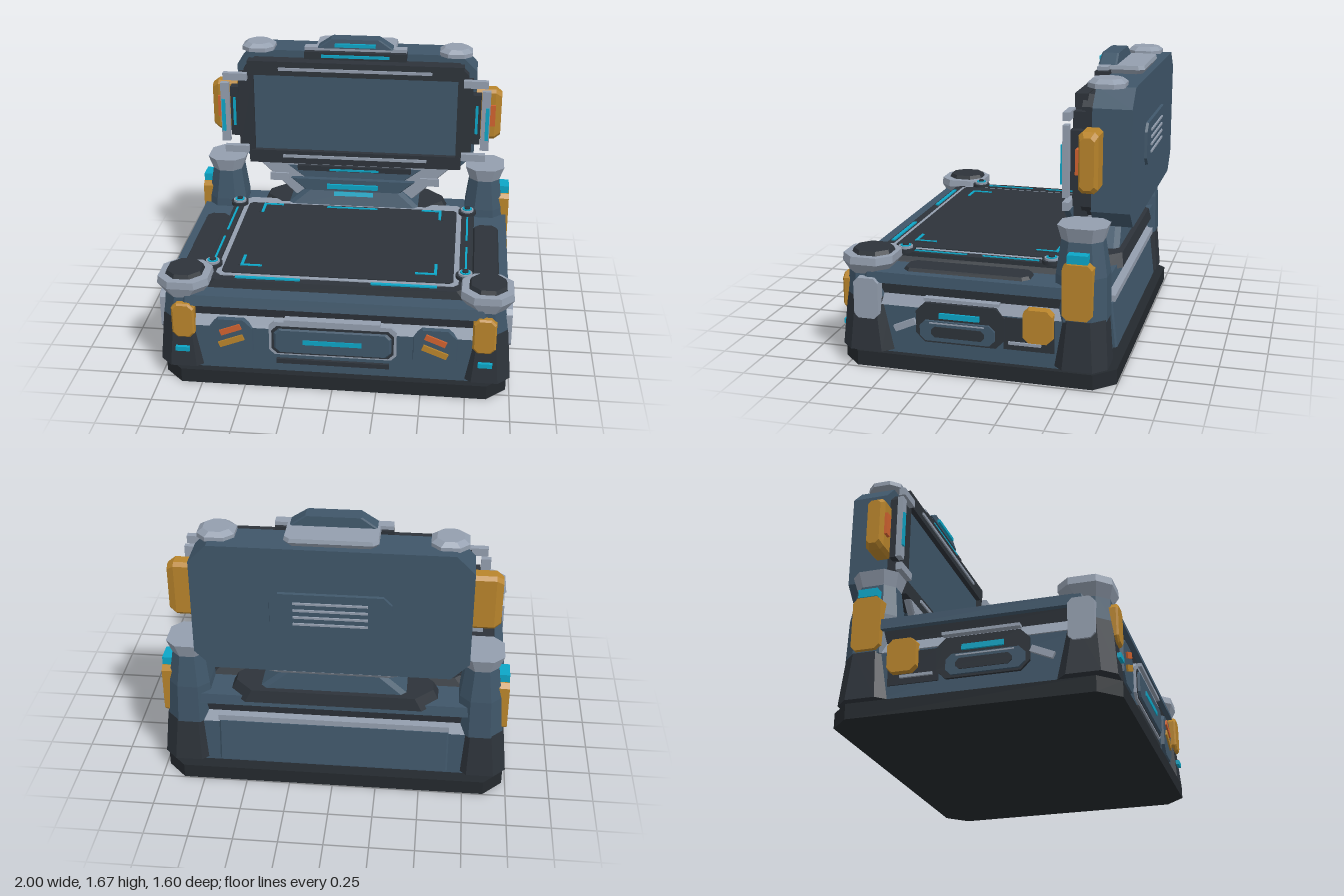
import * as THREE from 'three';

const mat = (name, color) => {
  const m = new THREE.MeshStandardMaterial({ color });
  m.name = name;
  return m;
};
const BLUE = mat('slate blue', 0x3f5669), DARK = mat('charcoal', 0x2d333a), BASE = mat('near black', 0x24292e);
const GREY = mat('light steel', 0x939eae), GOLD = mat('amber', 0xb8842b), TEAL = mat('cyan light', 0x0ca5c6);
const ORANGE = mat('orange', 0xd0622f);

// Chamfered-rectangle sections [t, u0, u1, v0, v1, chamfer] joined along an axis;
// (t,u,v) is (x,y,z), (y,z,x) or (z,x,y).
function loftGeometry(axis, levels, mirror) {
  const a = 'xyz'.indexOf(axis), pos = [], idx = [], n = 8;
  for (const [t, u0, u1, v0, v1, c] of levels) {
    const ring = [[u0 + c, v0], [u1 - c, v0], [u1, v0 + c], [u1, v1 - c], [u1 - c, v1], [u0 + c, v1], [u0, v1 - c], [u0, v0 + c]];
    for (const [u, v] of ring) {
      const p = [0, 0, 0];
      p[a] = t; p[(a + 1) % 3] = u; p[(a + 2) % 3] = v;
      pos.push(mirror ? -p[0] : p[0], p[1], p[2]);
    }
  }
  const tri = (i, j, k) => (mirror ? idx.push(i, k, j) : idx.push(i, j, k));
  const last = (levels.length - 1) * n;
  for (let l = 0; l < last; l += n)
    for (let i = 0; i < n; i++) {
      const j = (i + 1) % n;
      tri(l + i, l + j, l + n + j);
      tri(l + i, l + n + j, l + n + i);
    }
  for (let i = 1; i < n - 1; i++) {
    tri(0, i + 1, i);
    tri(last, last + i, last + i + 1);
  }
  const g = new THREE.BufferGeometry();
  g.setAttribute('position', new THREE.Float32BufferAttribute(pos, 3));
  g.setIndex(idx);
  const flat = g.toNonIndexed();
  flat.computeVertexNormals();
  return flat;
}

export function createModel() {
  const model = new THREE.Group();
  model.name = 'console';
  const add = (name, m, g) => {
    const mesh = new THREE.Mesh(g, m);
    mesh.name = name;
    model.add(mesh);
    return mesh;
  };
  const loft = (name, m, axis, levels) => add(name, m, loftGeometry(axis, levels, false));
  const loftPair = (name, m, axis, levels) => {
    add(name + 'Left', m, loftGeometry(axis, levels, false));
    add(name + 'Right', m, loftGeometry(axis, levels, true));
  };
  const box = (name, m, x0, x1, y0, y1, z0, z1) => {
    const mesh = add(name, m, new THREE.BoxGeometry(x1 - x0, y1 - y0, z1 - z0));
    mesh.position.set((x0 + x1) / 2, (y0 + y1) / 2, (z0 + z1) / 2);
    return mesh;
  };
  const boxPair = (name, m, x0, x1, y0, y1, z0, z1, rx = 0, rz = 0) => {
    box(name + 'Left', m, x0, x1, y0, y1, z0, z1).rotation.set(rx, 0, rz);
    box(name + 'Right', m, -x1, -x0, y0, y1, z0, z1).rotation.set(rx, 0, -rz);
  };

  // Plinth and body, stacked as bands
  const band = (name, m, y0, y1, a, b, c = 0.14) => loft(name, m, 'y', [
    [y0, a[0], a[1], -a[2], a[2], c], [y1, b[0], b[1], -b[2], b[2], c]]);
  band('plinth', BASE, 0, 0.085, [-0.745, 0.8, 0.98], [-0.745, 0.8, 0.98], 0.11);
  band('lowerBody', BLUE, 0.085, 0.36, [-0.67, 0.755, 0.945], [-0.66, 0.755, 0.945]);
  band('ledge', GREY, 0.36, 0.42, [-0.67, 0.765, 0.955], [-0.64, 0.735, 0.93]);
  band('recessBand', DARK, 0.42, 0.49, [-0.64, 0.735, 0.93], [-0.65, 0.745, 0.94]);
  band('upperRim', BLUE, 0.49, 0.55, [-0.68, 0.775, 0.975], [-0.67, 0.76, 0.97]);

  // Work deck and its frame
  band('deck', DARK, 0.55, 0.597, [-0.47, 0.66, 0.77], [-0.45, 0.65, 0.73], 0.05);
  band('deckFrame', GREY, 0.597, 0.602, [-0.45, 0.6, 0.69], [-0.45, 0.6, 0.69], 0.03);
  band('workPad', DARK, 0.602, 0.608, [-0.36, 0.575, 0.66], [-0.36, 0.575, 0.66], 0.02);
  loftPair('sidePad', DARK, 'y', [[0.55, -0.27, 0.44, 0.765, 0.92, 0.035], [0.568, -0.26, 0.43, 0.775, 0.91, 0.03]]);
  boxPair('frontLight', TEAL, 0.2, 0.57, 0.6, 0.608, 0.612, 0.632);
  for (const [z, s] of [[-0.34, 1], [0.485, -1]]) {
    const z1 = z + s * 0.12;
    boxPair('cornerMarkSide', TEAL, 0.548, 0.565, 0.607, 0.613, Math.min(z, z1), Math.max(z, z1));
    boxPair('cornerMarkEnd', TEAL, 0.44, 0.565, 0.607, 0.613, z - 0.008, z + 0.008);
    boxPair('cornerMarkBacking', DARK, 0.565, 0.58, 0.604, 0.611, Math.min(z, z1), Math.max(z, z1));
  }
  box('padBackLight', TEAL, -0.16, 0.16, 0.607, 0.613, -0.34, -0.325);

  // Rails with round knobs at each end
  boxPair('rail', DARK, 0.695, 0.755, 0.58, 0.605, -0.42, 0.52);
  for (const z of [-0.28, 0.13]) boxPair('railLight', TEAL, 0.721, 0.733, 0.604, 0.61, z, z + 0.32);
  const knobParts = [['knobBase', DARK, 0.055, 0.6, 0.62], ['knobRing', GREY, 0.04, 0.62, 0.632],
    ['knobLight', TEAL, 0.03, 0.632, 0.637], ['knobCap', DARK, 0.018, 0.637, 0.645]];
  for (const x of [-0.725, 0.725])
    for (const z of [-0.35, 0.487]) {
      for (const [name, m, r, y0, y1] of knobParts)
        add(name, m, new THREE.CylinderGeometry(r, r, y1 - y0, 16)).position.set(x, (y0 + y1) / 2, z);
    }

  // Front corner pillars
  loftPair('frontFoot', DARK, 'y', [[0.1, 0.47, 0.79, 0.71, 1.0, 0.07], [0.4, 0.51, 0.765, 0.74, 0.975, 0.07]]);
  loftPair('frontColumn', BLUE, 'y', [[0.4, 0.51, 0.765, 0.74, 0.975, 0.07], [0.54, 0.54, 0.755, 0.755, 0.955, 0.06]]);
  loftPair('frontCollar', GREY, 'y', [[0.525, 0.54, 0.755, 0.755, 0.955, 0.06], [0.59, 0.49, 0.778, 0.705, 1.0, 0.07],
    [0.632, 0.49, 0.775, 0.71, 0.995, 0.07]]);
  loftPair('frontCap', DARK, 'y', [[0.63, 0.515, 0.735, 0.75, 0.96, 0.06], [0.655, 0.525, 0.725, 0.76, 0.95, 0.055]]);
  loftPair('frontAmberPlate', GOLD, 'z', [[0.74, 0.78, 0.91, 0.29, 0.505, 0.03], [0.785, 0.78, 0.91, 0.29, 0.505, 0.03],
    [0.795, 0.79, 0.9, 0.3, 0.495, 0.025]]);
  loftPair('pillarSidePlate', GREY, 'x', [[0.94, 0.28, 0.52, 0.55, 0.7, 0.03], [0.995, 0.285, 0.515, 0.555, 0.695, 0.025]]);
  boxPair('footLight', TEAL, 0.815, 0.895, 0.203, 0.23, 0.77, 0.8);

  // Back corner pillars
  loftPair('backFoot', DARK, 'y', [[0.1, -0.705, -0.4, 0.7, 0.995, 0.07], [0.37, -0.685, -0.42, 0.71, 0.97, 0.07]]);
  loftPair('backColumn', BLUE, 'y', [[0.36, -0.69, -0.4, 0.7, 0.965, 0.07], [0.6, -0.685, -0.41, 0.71, 0.945, 0.06],
    [0.8, -0.655, -0.435, 0.735, 0.915, 0.05]]);
  loftPair('backCollar', GREY, 'y', [[0.78, -0.655, -0.435, 0.735, 0.915, 0.05], [0.868, -0.68, -0.415, 0.705, 0.945, 0.06]]);
  loftPair('backAmberPlate', GOLD, 'x', [[0.92, 0.375, 0.69, -0.63, -0.46, 0.025], [0.985, 0.38, 0.685, -0.625, -0.465, 0.025]]);
  boxPair('backPillarLight', TEAL, 0.91, 0.982, 0.69, 0.737, -0.6, -0.49);

  // Front panel set
  loft('frontPanelFrame', GREY, 'z', [[0.75, -0.36, 0.36, 0.2, 0.41, 0.03], [0.77, -0.36, 0.36, 0.2, 0.41, 0.03]]);
  loft('frontPanelGap', DARK, 'z', [[0.765, -0.345, 0.345, 0.21, 0.385, 0.03], [0.773, -0.345, 0.345, 0.21, 0.385, 0.03]]);
  loft('frontPanel', BLUE, 'z', [[0.765, -0.34, 0.34, 0.215, 0.375, 0.03], [0.785, -0.32, 0.32, 0.225, 0.365, 0.025]]);
  box('frontPanelLight', TEAL, -0.165, 0.165, 0.282, 0.31, 0.78, 0.79);
  box('frontTopStrip', GREY, -0.27, 0.27, 0.415, 0.435, 0.74, 0.788);
  box('frontLowStrip', DARK, -0.32, 0.32, 0.142, 0.17, 0.75, 0.772);
  loftPair('frontSidePanel', BLUE, 'z', [[0.75, 0.45, 0.7, 0.16, 0.415, 0.05], [0.775, 0.455, 0.695, 0.165, 0.41, 0.05]]);
  boxPair('orangeSlash', ORANGE, 0.515, 0.64, 0.333, 0.367, 0.77, 0.785, 0, -0.38);
  boxPair('amberSlash', GOLD, 0.5, 0.65, 0.26, 0.295, 0.77, 0.785, 0, -0.38);

  // Side panel sets
  loftPair('sidePanelBack', DARK, 'x', [[0.94, 0.17, 0.395, -0.15, 0.35, 0.05], [0.962, 0.17, 0.395, -0.15, 0.35, 0.05]]);
  loftPair('sidePanel', BLUE, 'x', [[0.955, 0.18, 0.3, -0.1, 0.33, 0.035], [0.973, 0.183, 0.297, -0.095, 0.325, 0.03]]);
  loftPair('sidePanelInset', DARK, 'x', [[0.97, 0.207, 0.267, -0.04, 0.26, 0.02], [0.978, 0.207, 0.267, -0.04, 0.26, 0.02]]);
  boxPair('sidePanelLight', TEAL, 0.955, 0.975, 0.315, 0.345, -0.01, 0.215);
  boxPair('sidePanelLip', GREY, 0.955, 0.976, 0.283, 0.291, -0.04, 0.27);
  boxPair('sideTopStrip', GREY, 0.93, 0.973, 0.41, 0.427, 0.16, 0.3);
  boxPair('sideTopStripRear', GREY, 0.93, 0.973, 0.41, 0.427, -0.12, 0.16);
  boxPair('sideRod', GREY, 0.94, 0.965, 0.237, 0.273, 0.35, 0.48, 0.42);
  boxPair('sideLowStrip', GREY, 0.94, 0.965, 0.203, 0.218, -0.35, -0.17);
  boxPair('sideRecess', DARK, 0.94, 0.952, 0.17, 0.35, -0.42, -0.14);
  loftPair('sideAmberPlate', GOLD, 'x', [[0.94, 0.225, 0.42, -0.42, -0.25, 0.03], [0.985, 0.23, 0.415, -0.415, -0.255, 0.03]]);

  // Rear of body
  box('rearStrip', GREY, -0.66, 0.66, 0.385, 0.42, -0.69, -0.64);
  loft('rearPanel', BLUE, 'y', [[0.12, -0.705, -0.6, -0.66, 0.66, 0.01], [0.37, -0.675, -0.6, -0.66, 0.66, 0.01]]);
  loft('rearStep', DARK, 'y', [[0.53, -0.7, -0.4, -0.6, 0.6, 0.1], [0.605, -0.69, -0.41, -0.56, 0.56, 0.1]]);

  // Neck carrying the display
  loft('neckLower', BLUE, 'y', [[0.59, -0.66, -0.38, -0.43, 0.43, 0.03], [0.735, -0.64, -0.43, -0.25, 0.25, 0.03]]);
  loft('neckUpper', BLUE, 'y', [[0.72, -0.64, -0.44, -0.28, 0.28, 0.03], [0.84, -0.66, -0.45, -0.45, 0.45, 0.03]]);
  loft('neckShelf', GREY, 'y', [[0.725, -0.67, -0.46, -0.38, 0.38, 0.07], [0.75, -0.69, -0.46, -0.44, 0.44, 0.08],
    [0.8, -0.69, -0.46, -0.46, 0.46, 0.08]]);
  loft('neckWings', GREY, 'y', [[0.64, -0.5, -0.455, -0.38, 0.38, 0.01], [0.85, -0.5, -0.455, -0.6, 0.6, 0.01]]);
  boxPair('neckWingPlate', GREY, 0.42, 0.54, 0.735, 0.785, -0.455, -0.44);
  loft('neckFacePlate', BLUE, 'y', [[0.725, -0.37, -0.335, -0.3, 0.3, 0.01], [0.8, -0.37, -0.335, -0.39, 0.39, 0.01]]);
  box('neckFaceLight', TEAL, -0.16, 0.16, 0.743, 0.772, -0.337, -0.32);
  box('neckLowLight', TEAL, -0.125, 0.125, 0.66, 0.687, -0.413, -0.395).rotation.x = -0.33;
  box('neckTopStrip', DARK, -0.36, 0.36, 0.815, 0.848, -0.46, -0.43);
  box('neckTopLight', TEAL, -0.155, 0.155, 0.82, 0.833, -0.432, -0.425);

  // Display housing, bezel and screen
  loft('displayHousing', BLUE, 'z', [[-0.775, -0.75, 0.75, 0.81, 1.565, 0.1], [-0.565, -0.75, 0.75, 0.81, 1.565, 0.1]]);
  loft('displayCore', DARK, 'z', [[-0.57, -0.7, 0.7, 0.86, 1.52, 0.06], [-0.5, -0.7, 0.7, 0.86, 1.52, 0.06]]);
  box('screen', BLUE, -0.64, 0.64, 0.93, 1.44, -0.51, -0.487);
  box('bezelTop', DARK, -0.67, 0.67, 1.435, 1.525, -0.525, -0.455);
  box('bezelBottom', DARK, -0.67, 0.67, 0.85, 0.935, -0.525, -0.455);
  boxPair('bezelSide', DARK, 0.635, 0.73, 0.93, 1.44, -0.525, -0.46);
  box('bezelTopStrip', GREY, -0.475, 0.475, 1.47, 1.488, -0.456, -0.446);
  box('bezelBottomStrip', GREY, -0.455, 0.455, 0.892, 0.91, -0.456, -0.446);
  for (const y of [0.925, 1.405]) boxPair('sideBracket', GREY, 0.67, 0.82, y, y + 0.045, -0.462, -0.425);
  boxPair('sideBar', GREY, 0.785, 0.838, 1.0, 1.385, -0.46, -0.428);
  boxPair('sideBarLight', TEAL, 0.81, 0.832, 1.07, 1.28, -0.43, -0.417);
  boxPair('innerBar', DARK, 0.73, 0.782, 1.03, 1.35, -0.52, -0.455);
  boxPair('innerBarLight', TEAL, 0.748, 0.765, 1.1, 1.285, -0.457, -0.449);
  loftPair('ear', GOLD, 'x', [[0.75, 1.04, 1.365, -0.625, -0.52, 0.02], [0.87, 1.04, 1.365, -0.625, -0.52, 0.02],
    [0.908, 1.065, 1.34, -0.61, -0.535, 0.02]]);
  boxPair('earMark', ORANGE, 0.825, 0.872, 1.135, 1.27, -0.53, -0.503);

  // Display top fittings
  loftPair('topCap', GREY, 'y', [[1.56, -0.72, -0.52, 0.515, 0.715, 0.05], [1.585, -0.72, -0.52, 0.515, 0.715, 0.05],
    [1.607, -0.695, -0.545, 0.545, 0.685, 0.04]]);
  box('crestBar', GREY, -0.315, 0.315, 1.592, 1.612, -0.56, -0.5);
  loft('crestPlate', GREY, 'y', [[1.56, -0.73, -0.53, -0.23, 0.23, 0.03], [1.59, -0.75, -0.53, -0.25, 0.25, 0.03],
    [1.612, -0.745, -0.53, -0.245, 0.245, 0.03]]);
  loft('crest', BLUE, 'y', [[1.61, -0.595, -0.49, -0.235, 0.235, 0.01], [1.667, -0.59, -0.495, -0.15, 0.15, 0.01]]);
  box('crestLight', TEAL, -0.125, 0.125, 1.622, 1.643, -0.495, -0.475);
  box('topStrip', DARK, -0.315, 0.315, 1.538, 1.585, -0.565, -0.485);
  box('topStripLight', TEAL, -0.21, 0.21, 1.553, 1.57, -0.487, -0.475);

  // Rear vent panel
  loft('ventPanel', BLUE, 'z', [[-0.79, -0.325, 0.325, 1.07, 1.305, 0.045], [-0.77, -0.33, 0.33, 1.065, 1.31, 0.05]]);
  for (let i = 0; i < 4; i++) box('vent', GREY, -0.2, 0.2, 1.12 + i * 0.042, 1.132 + i * 0.042, -0.798, -0.785);
  return model;
}
